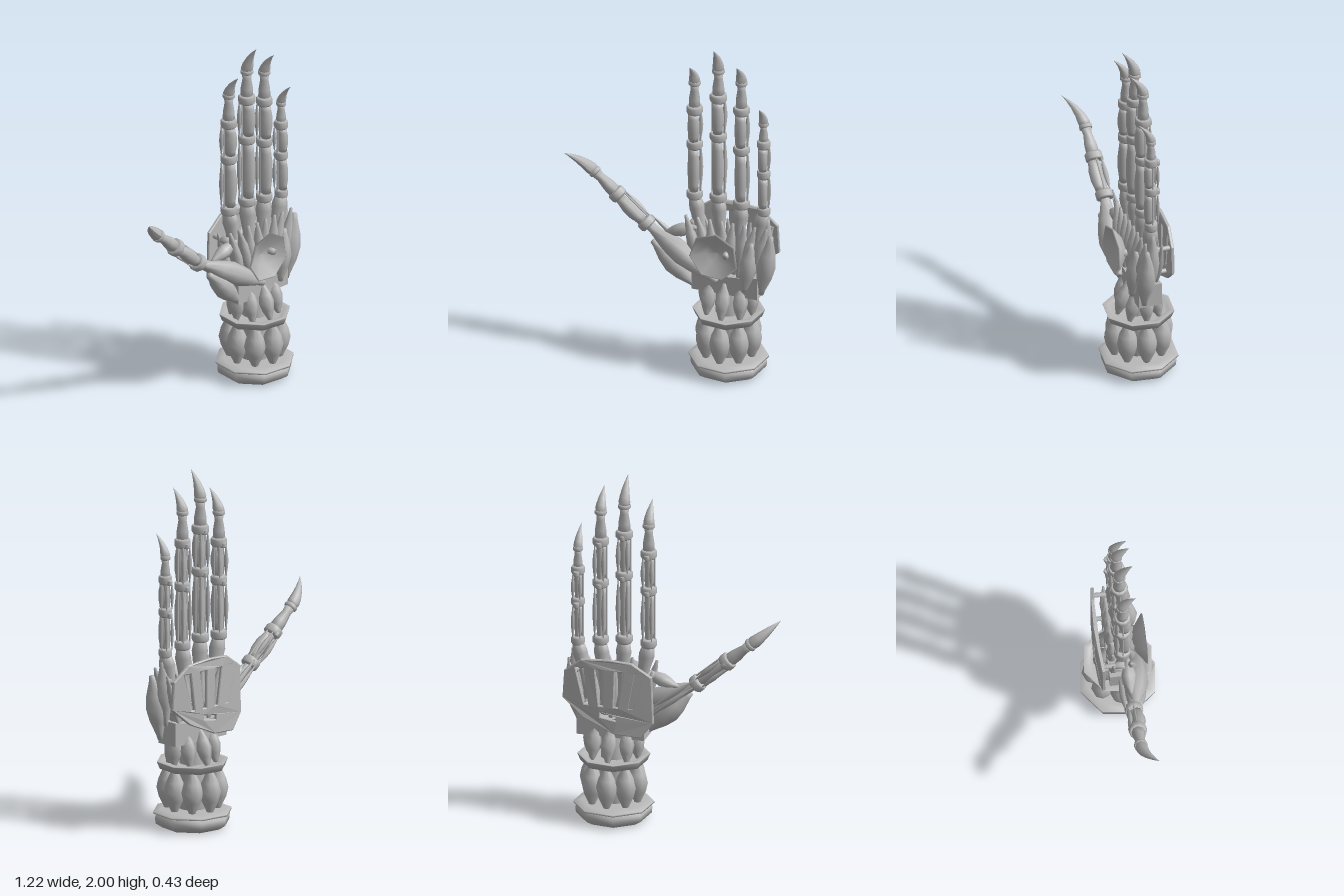
import * as THREE from 'three';

const steel = new THREE.MeshStandardMaterial({ color: 0xb8b8b8 });
steel.name = 'steel';
const CX = 0.31; // forearm axis

function part(parent, name, geometry) {
  const mesh = new THREE.Mesh(geometry, steel);
  mesh.name = name;
  parent.add(mesh);
  return mesh;
}

// Turned part between two points; profile holds [radius, fraction along]
function turned(parent, name, a, b, profile, sides = 8) {
  const from = new THREE.Vector3(...a), dir = new THREE.Vector3(...b).sub(from);
  const len = dir.length();
  const geo = new THREE.LatheGeometry(profile.map(([r, t]) => new THREE.Vector2(r, t * len)), sides);
  const mesh = part(parent, name, geo);
  mesh.position.copy(from);
  mesh.quaternion.setFromUnitVectors(new THREE.Vector3(0, 1, 0), dir.normalize());
  return mesh;
}
const muscle = (parent, name, a, b, r, sides = 8) => turned(parent, name, a, b,
  [[0, 0], [r * 0.25, 0.0], [r * 0.35, 0.08], [r * 0.8, 0.3], [r, 0.5], [r * 0.8, 0.7], [r * 0.35, 0.92], [r * 0.25, 1], [0, 1]], sides);
const rod = (parent, name, a, b, r0, r1 = r0, sides = 8) => turned(parent, name, a, b,
  [[0, 0], [r0, 0], [r1, 1], [0, 1]], sides);
const collar = (parent, name, y, h, r, z = 0) => turned(parent, name, [0, y - h / 2, z], [0, y + h / 2, z],
  [[0, 0], [r * 0.85, 0], [r, 0.2], [r, 0.8], [r * 0.85, 1], [0, 1]], 10);

// Finger along local y: joint heights, claw start, tip, forward reach of claw
function finger(name, joints, clawY, tipY, hook, s = 1) {
  const g = new THREE.Group();
  g.name = name;
  joints.forEach((y, i) => {
    const last = i === joints.length - 1;
    const end = last ? clawY : joints[i + 1];
    collar(g, 'joint', y, 0.05, 0.048 * s);
    if (last) {
      turned(g, 'fingertipBone', [0, y, 0], [0, end, 0],
        [[0, 0], [0.036 * s, 0], [0.034 * s, 0.4], [0.024 * s, 0.75], [0.03 * s, 1], [0, 1]], 8);
      return;
    }
    rod(g, 'bone', [0, y, -0.005], [0, end, -0.005], 0.02 * s);
    turned(g, 'pad', [0, y + 0.025, 0.014], [0, end - 0.025, 0.014],
      [[0, 0], [0.027 * s, 0], [0.03 * s, 0.15], [0.037 * s, 0.35], [0.037 * s, 0.65], [0.03 * s, 0.85], [0.026 * s, 1], [0, 1]], 8);
    for (const side of [-1, 1]) {
      muscle(g, 'tendon', [side * 0.026 * s, y + 0.02, -0.032], [side * 0.026 * s, end - 0.02, -0.032], 0.014 * s, 6);
      rod(g, 'cable', [side * 0.036 * s, y, 0], [side * 0.036 * s, end, 0], 0.005, 0.005, 5);
    }
    collar(g, 'tendonAnchor', end - 0.012, 0.03, 0.016, -0.036);
  });
  // Claw, bent forward toward the tip
  collar(g, 'clawCollar', clawY, 0.025, 0.036 * s);
  const len = tipY - clawY, r = 0.034 * s;
  const claw = new THREE.LatheGeometry([[0, 0], [0.85, 0], [1, 0.15], [0.85, 0.35], [0.6, 0.6], [0.3, 0.82], [0, 1]]
    .map(([k, t]) => new THREE.Vector2(k * r, t * len)), 8);
  const p = claw.attributes.position;
  for (let i = 0; i < p.count; i++) p.setZ(i, p.getZ(i) + hook * (p.getY(i) / len) ** 2);
  claw.computeVertexNormals();
  part(g, 'claw', claw).position.y = clawY;
  return g;
}

export function createModel() {
  const hand = new THREE.Group();
  hand.name = 'mechanicalHand';

  // Eight-sided forearm base, rings and core
  const ring = (name, profile) => {
    const m = part(hand, name, new THREE.LatheGeometry(profile.map(([r, y]) => new THREE.Vector2(r, y)), 8));
    m.position.x = CX;
    m.rotation.y = 0.27;
  };
  ring('base', [[0, 0], [0.17, 0], [0.208, 0.025], [0.212, 0.06], [0.19, 0.08], [0.19, 0.08], [0.222, 0.082], [0.222, 0.092], [0.18, 0.105], [0, 0.105]]);
  ring('wristRing', [[0, 0.335], [0.185, 0.335], [0.2, 0.372], [0.2, 0.376], [0.165, 0.376], [0.15, 0.36], [0, 0.36]]);
  rod(hand, 'forearmCore', [CX, 0.08, 0], [CX, 0.52, 0], 0.08, 0.07, 12);
  for (let i = 0; i < 8; i++) {
    const a = i * Math.PI / 4, c = Math.sin(a), s = Math.cos(a);
    muscle(hand, 'forearmMuscle', [CX + c * 0.135, 0.09, s * 0.14], [CX + c * 0.135, 0.35, s * 0.14], 0.06);
    muscle(hand, 'wristMuscle', [CX + c * 0.14, 0.35, s * 0.125], [CX + c * 0.125, 0.56, s * 0.06], 0.043, 6);
  }

  // Wrist block, widening upward
  const block = new THREE.BoxGeometry(0.385, 0.115, 0.135, 4, 1, 1);
  const bp = block.attributes.position;
  for (let i = 0; i < bp.count; i++) if (bp.getY(i) > 0) bp.setY(i, 0.0575 - 0.025 * Math.cos(bp.getX(i) * 8) + 0.02);
  block.computeVertexNormals();
  part(hand, 'wristBlock', block).position.set(CX, 0.55, 0);

  // Four fingers with hand bones and the small muscles around them
  const fingers = [
    ['indexFinger', 0.11, [1.05, 1.36, 1.575], 1.74, 1.87, 0.95],
    ['middleFinger', 0.25, [1.06, 1.435, 1.675], 1.84, 2.0, 1],
    ['ringFinger', 0.385, [1.04, 1.375, 1.62], 1.79, 1.92, 0.95],
    ['littleFinger', 0.515, [1.02, 1.25, 1.435], 1.56, 1.685, 0.78],
  ];
  fingers.forEach(([name, x, joints, claw, tip, s], i) => {
    const f = finger(name, joints, claw, tip, 0.075, s);
    f.position.x = x;
    hand.add(f);
    const foot = 0.2 + i * 0.075, top = joints[0];
    turned(hand, 'handBone', [foot, 0.57, 0], [x, top - 0.01, 0],
      [[0, 0], [0.036, 0], [0.026, 0.25], [0.028, 0.6], [0.045, 0.86], [0.032, 1], [0, 1]]);
    for (const side of [-1, 1]) {
      const dx = side * 0.034;
      muscle(hand, 'frontHandMuscle', [foot + dx, 0.6, 0.055], [x + dx, 0.93, 0.045], 0.034, 6);
      muscle(hand, 'backHandMuscle', [foot + dx, 0.6, -0.05], [x + dx, 0.9, -0.05], 0.026, 6);
    }
  });

  // Thumb
  const thumb = finger('thumb', [0, 0.225], 0.4, 0.6, 0.085, 1.05);
  thumb.position.set(-0.16, 0.83, 0.03);
  thumb.rotation.z = 0.86;
  hand.add(thumb);
  muscle(hand, 'thumbMuscle', [0.28, 0.585, 0.1], [-0.15, 0.82, 0.04], 0.066);
  muscle(hand, 'thumbRootMuscle', [0.13, 0.51, 0.05], [-0.11, 0.75, 0.07], 0.06);
  muscle(hand, 'thumbWebMuscle', [-0.05, 0.795, 0.03], [0.14, 0.86, 0.03], 0.04);
  rod(hand, 'thumbBone', [0.18, 0.58, 0.02], [-0.16, 0.83, 0.03], 0.025);
  for (const d of [-0.02, 0.02]) muscle(hand, 'thumbTendon', [0.08, 0.66 + d, -0.02], [-0.15, 0.84 + d, -0.015], 0.016, 6);

  // Muscles on the little-finger side
  muscle(hand, 'outerHandMuscle', [0.515, 0.52, 0.04], [0.575, 0.89, 0.045], 0.056);
  muscle(hand, 'innerHandMuscle', [0.43, 0.54, 0.08], [0.47, 0.84, 0.07], 0.05);
  muscle(hand, 'heelMuscle', [0.51, 0.6, 0], [0.54, 0.97, 0], 0.045);

  // Hollow dish in the palm with a small centre stud
  const dish = part(hand, 'palmDish', new THREE.LatheGeometry(
    [[0, 0], [0.07, 0.012], [0.145, 0.065], [0.135, 0.072], [0.065, 0.022], [0, 0.01]].map(([r, y]) => new THREE.Vector2(r, y)), 7));
  dish.rotation.set(Math.PI / 2, 0.35, 0);
  dish.position.set(0.275, 0.755, 0.075);
  rod(hand, 'palmStud', [0.335, 0.76, 0.08], [0.335, 0.76, 0.125], 0.022, 0.018, 10);

  // Slotted back plate
  const outline = [[0.05, 0.62], [0.12, 0.53], [0.27, 0.54], [0.45, 0.62], [0.57, 0.72], [0.56, 0.88], [0.46, 0.96], [0.3, 0.975], [0.17, 0.965], [0.06, 0.89]];
  const vec = (pts) => pts.map(([x, y]) => new THREE.Vector2(x, y));
  const shape = new THREE.Shape(vec(outline));
  for (let i = 0; i < 4; i++) {
    const t = 0.125 + i * 0.115, b = 0.175 + i * 0.085;
    shape.holes.push(new THREE.Path(vec([[b - 0.012, 0.7], [t - 0.024, 0.91], [t + 0.024, 0.91], [b + 0.012, 0.7]])));
  }
  shape.holes.push(new THREE.Path(vec([[0.26, 0.62], [0.26, 0.645], [0.35, 0.66], [0.35, 0.635]])));
  const plate = new THREE.ExtrudeGeometry(shape, { depth: 0.012, bevelEnabled: true, bevelSize: 0.005, bevelOffset: -0.005, bevelThickness: 0.004, bevelSegments: 1 });
  const pp = plate.attributes.position;
  for (let i = 0; i < pp.count; i++) pp.setZ(i, pp.getZ(i) - 0.135 + 0.32 * (pp.getX(i) - CX) ** 2);
  plate.computeVertexNormals();
  part(hand, 'backPlate', plate);

  // Posts carrying the back plate
  for (const [x, y] of [[0.1, 0.86], [0.52, 0.86], [0.16, 0.65], [0.45, 0.67]]) {
    rod(hand, 'platePost', [x, y, -0.02], [x, y, -0.12], 0.014);
    rod(hand, 'postFoot', [x, y, 0.01], [x, y, -0.04], 0.026, 0.02);
  }
  return hand;
}
